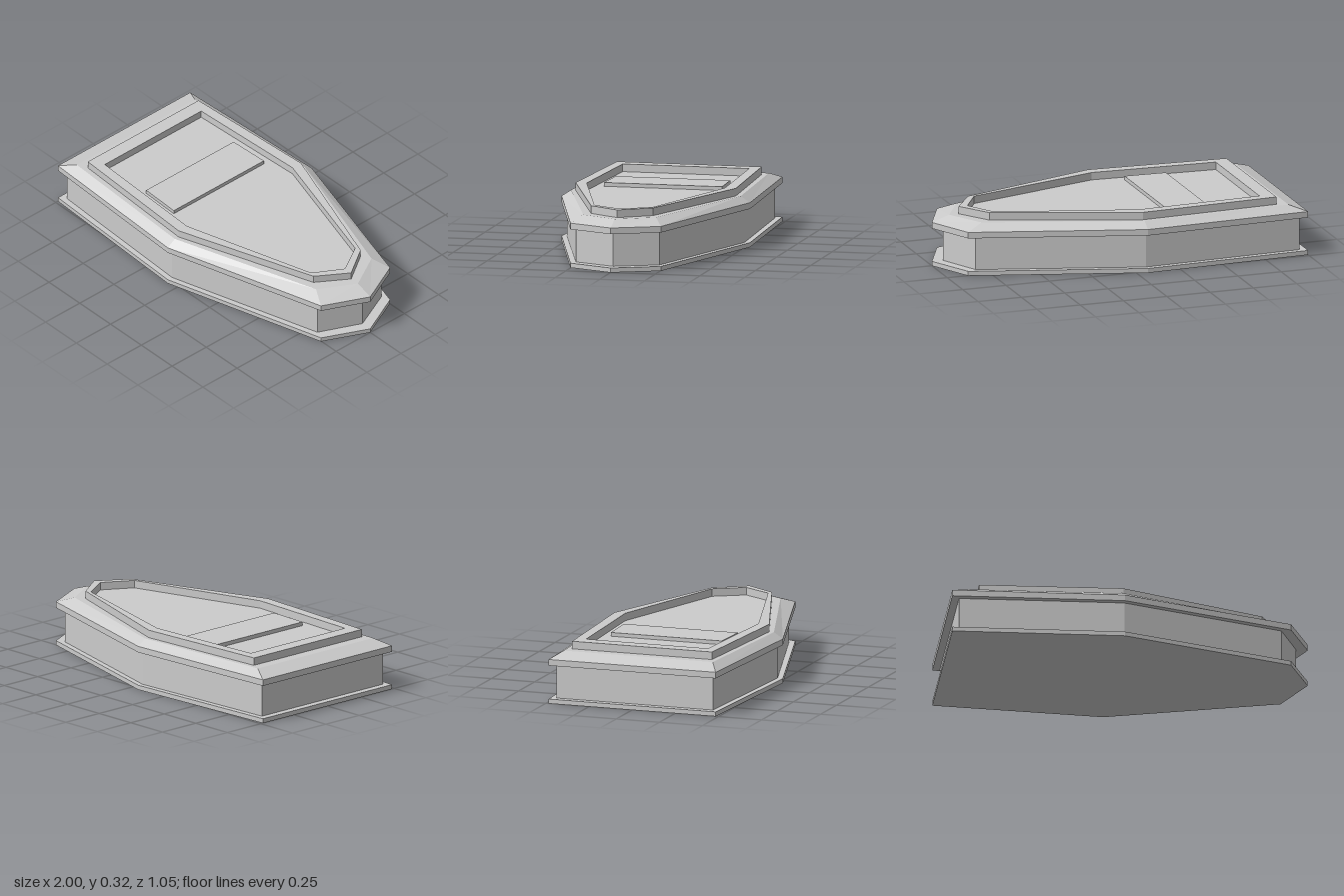
import * as THREE from 'three';

const material = new THREE.MeshStandardMaterial({ color: 0xcccccc, flatShading: true });

// Seven-sided mirrored outline: wide end, shoulder, narrow end, tip
function outline(end, shoulder, narrow, tip) {
  const half = [end, shoulder, narrow];
  return [...half, [tip, 0], ...half.map(([x, z]) => [x, -z]).reverse()];
}

const plinthLine = outline([-1, 0.484], [-0.06, 0.527], [0.88, 0.253], 1);
const bodyLine = outline([-0.96, 0.453], [-0.06, 0.496], [0.83, 0.234], 0.937);
const bevelLine = outline([-0.905, 0.432], [-0.06, 0.475], [0.785, 0.203], 0.9);
const rimLine = outline([-0.845, 0.405], [-0.06, 0.448], [0.73, 0.173], 0.845);
const recessLine = outline([-0.765, 0.353], [-0.06, 0.386], [0.698, 0.162], 0.795);
const bandLine = [[-0.465, 0.32], [-0.23, 0.33], [-0.23, -0.33], [-0.465, -0.32]];

// Closed solid through stacked [outline, height] sections, bottom to top
function stack(name, sections) {
  const pos = [];
  const n = sections[0][0].length;
  const at = (s, i) => {
    const [x, z] = sections[s][0][i % n];
    return [x, sections[s][1], z];
  };
  const tri = (a, b, c) => pos.push(...a, ...b, ...c);
  const last = sections.length - 1;
  for (let s = 0; s < last; s++) {
    for (let i = 0; i < n; i++) {
      tri(at(s, i), at(s, i + 1), at(s + 1, i + 1));
      tri(at(s, i), at(s + 1, i + 1), at(s + 1, i));
    }
  }
  for (let i = 1; i < n - 1; i++) {
    tri(at(last, 0), at(last, i), at(last, i + 1));
    tri(at(0, 0), at(0, i + 1), at(0, i));
  }
  const geometry = new THREE.BufferGeometry();
  geometry.setAttribute('position', new THREE.Float32BufferAttribute(pos, 3));
  geometry.computeVertexNormals();
  const mesh = new THREE.Mesh(geometry, material);
  mesh.name = name;
  return mesh;
}

// Raised border around the sunken lid panel
function lidRim() {
  const points = (line) => line.map(([x, z]) => new THREE.Vector2(x, -z));
  const shape = new THREE.Shape(points(rimLine));
  shape.holes.push(new THREE.Path(points(recessLine)));
  const geometry = new THREE.ExtrudeGeometry(shape, { depth: 0.042, bevelEnabled: false });
  geometry.rotateX(-Math.PI / 2);
  const mesh = new THREE.Mesh(geometry, material);
  mesh.position.y = 0.279;
  mesh.name = 'lidRim';
  return mesh;
}

export function createModel() {
  const model = new THREE.Group();
  model.name = 'coffin';
  model.add(
    stack('basePlinth', [[plinthLine, 0], [plinthLine, 0.025]]),
    stack('body', [[bodyLine, 0.025], [bodyLine, 0.211]]),
    stack('bevelledLid', [[plinthLine, 0.211], [plinthLine, 0.245], [bevelLine, 0.279]]),
    lidRim(),
    stack('lidBand', [[bandLine, 0.279], [bandLine, 0.3]]),
  );
  return model;
}
